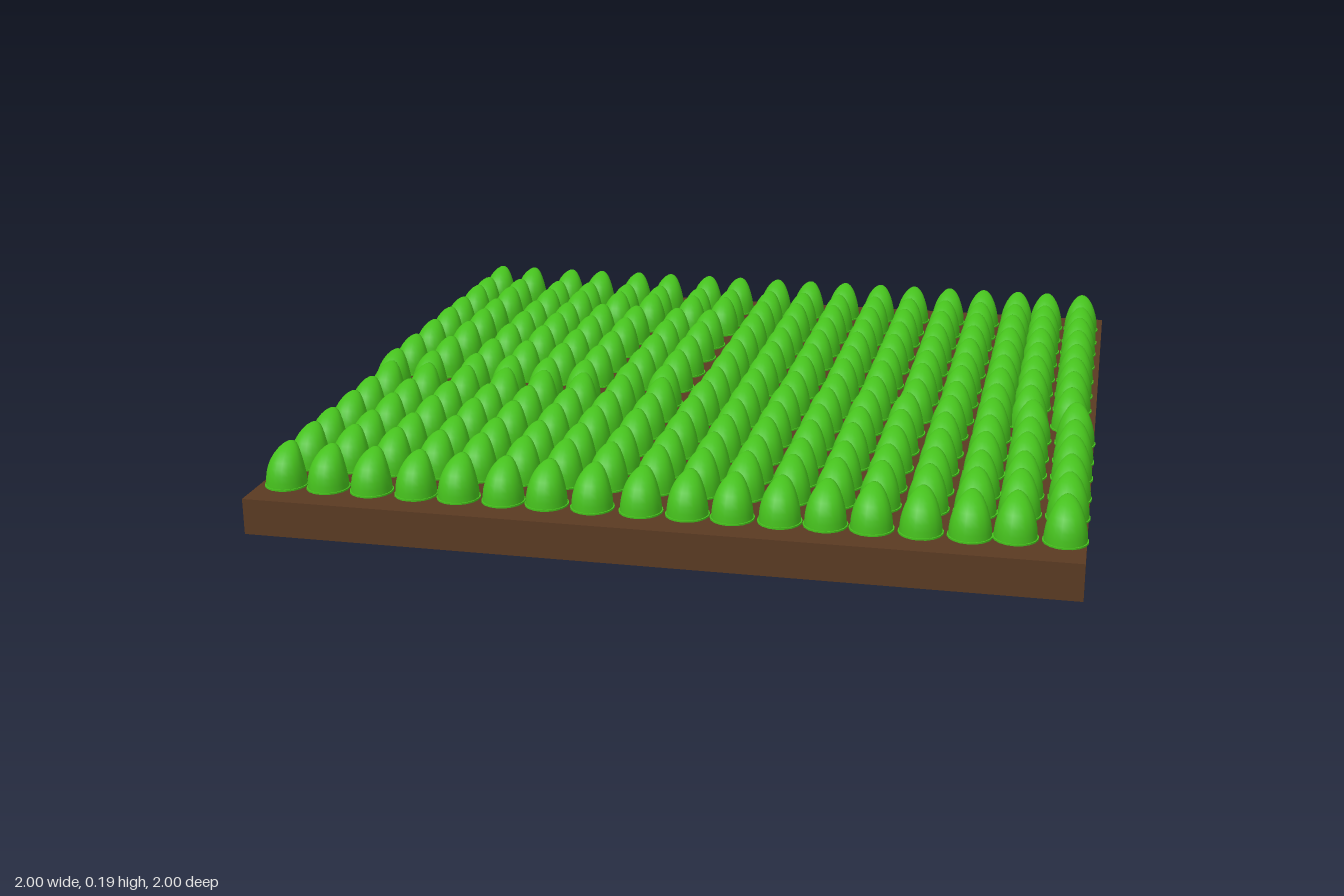
import * as THREE from 'three';
import { mergeVertices } from 'three/addons/utils/BufferGeometryUtils.js';

const SOIL_TOP = 0.09;

// Rounded bud: a half dome whose tip bends towards -z
function budGeometry() {
  const geo = new THREE.SphereGeometry(1, 18, 9, 0, Math.PI * 2, 0, Math.PI / 2);
  const p = geo.attributes.position;
  for (let i = 0; i < p.count; i++) {
    const t = p.getY(i);
    p.setXYZ(i, p.getX(i) * 0.05, t * 0.1, p.getZ(i) * 0.05 - 0.04 * t ** 4);
  }
  geo.deleteAttribute('uv');
  geo.deleteAttribute('normal');
  const smooth = mergeVertices(geo, 1e-5);
  smooth.computeVertexNormals();
  return smooth;
}

export function createModel() {
  const model = new THREE.Group();
  model.name = 'plantedField';
  const soil = new THREE.MeshStandardMaterial({ color: 0x5a3a22 });
  soil.name = 'soil brown';
  const leaf = new THREE.MeshStandardMaterial({ color: 0x45c01c });
  leaf.name = 'leaf green';

  // Soil slab
  const slab = new THREE.Mesh(new THREE.BoxGeometry(1.985, SOIL_TOP, 2), soil);
  slab.name = 'soilSlab';
  slab.position.y = SOIL_TOP / 2;
  model.add(slab);

  // Shared sprout shapes: bud and thin base rim
  const bud = budGeometry();
  const rim = new THREE.CylinderGeometry(0.053, 0.053, 0.004, 18);

  function addSprout(parent, name, x, z, scale = 1) {
    const sprout = new THREE.Group();
    sprout.name = name;
    const budMesh = new THREE.Mesh(bud, leaf);
    budMesh.name = 'bud';
    const rimMesh = new THREE.Mesh(rim, leaf);
    rimMesh.name = 'baseRim';
    rimMesh.position.y = 0.002;
    sprout.add(budMesh, rimMesh);
    sprout.position.set(x, SOIL_TOP, z);
    sprout.scale.setScalar(scale);
    parent.add(sprout);
  }

  // Column positions for the back rows and the front rows
  const backColumns = [-0.955, -0.848, -0.72, -0.618, -0.495, -0.388, -0.26, -0.158, -0.035,
    0.072, 0.184, 0.297, 0.404, 0.516, 0.623, 0.73, 0.82, 0.928];
  const frontColumns = [-0.928, -0.82, -0.709, -0.596, -0.489, -0.377, -0.27, -0.158, -0.04,
    0.072, 0.179, 0.291, 0.398, 0.505, 0.618, 0.73, 0.832, 0.944];

  // Depth of each row in its four sections, from -x to +x
  const rows = [
    [-0.87, -0.875, -0.875, -0.875],
    [-0.72, -0.725, -0.73, -0.73],
    [-0.62, -0.63, -0.605, -0.61],
    [-0.475, -0.48, -0.465, -0.475],
    [-0.355, -0.345, -0.33, -0.33],
    [-0.215, -0.195, -0.185, -0.195],
    [-0.055, -0.05, -0.06, -0.065],
    [0.095, 0.095, 0.085, 0.08],
    [0.21, 0.21, 0.21, 0.205],
    [0.355, 0.35, 0.35, 0.345],
    [0.48, 0.48, 0.48, 0.465],
    [0.625, 0.62, 0.62, 0.605],
    [0.74, 0.74, 0.74, 0.73],
    [0.885, 0.885, 0.885, 0.875],
  ];
  rows.forEach((depths, r) => {
    const row = new THREE.Group();
    row.name = `sproutRow${r + 1}`;
    (r < 8 ? backColumns : frontColumns).forEach((x, c) => {
      const section = c < 4 ? 0 : c < 8 ? 1 : c < 16 ? 2 : 3;
      const shift = r >= 3 && r < 8 && section === 1 ? -0.015 : 0;
      addSprout(row, 'sprout', x + shift, depths[section]);
    });
    model.add(row);
  });

  // Tiny seedlings in pairs between the rows
  const seedlings = new THREE.Group();
  seedlings.name = 'seedlings';
  for (const z of [-0.65, -0.53])
    for (const x of [0.608, 0.642, 0.713, 0.747]) addSprout(seedlings, 'seedling', x, z, 0.42);
  model.add(seedlings);

  return model;
}
